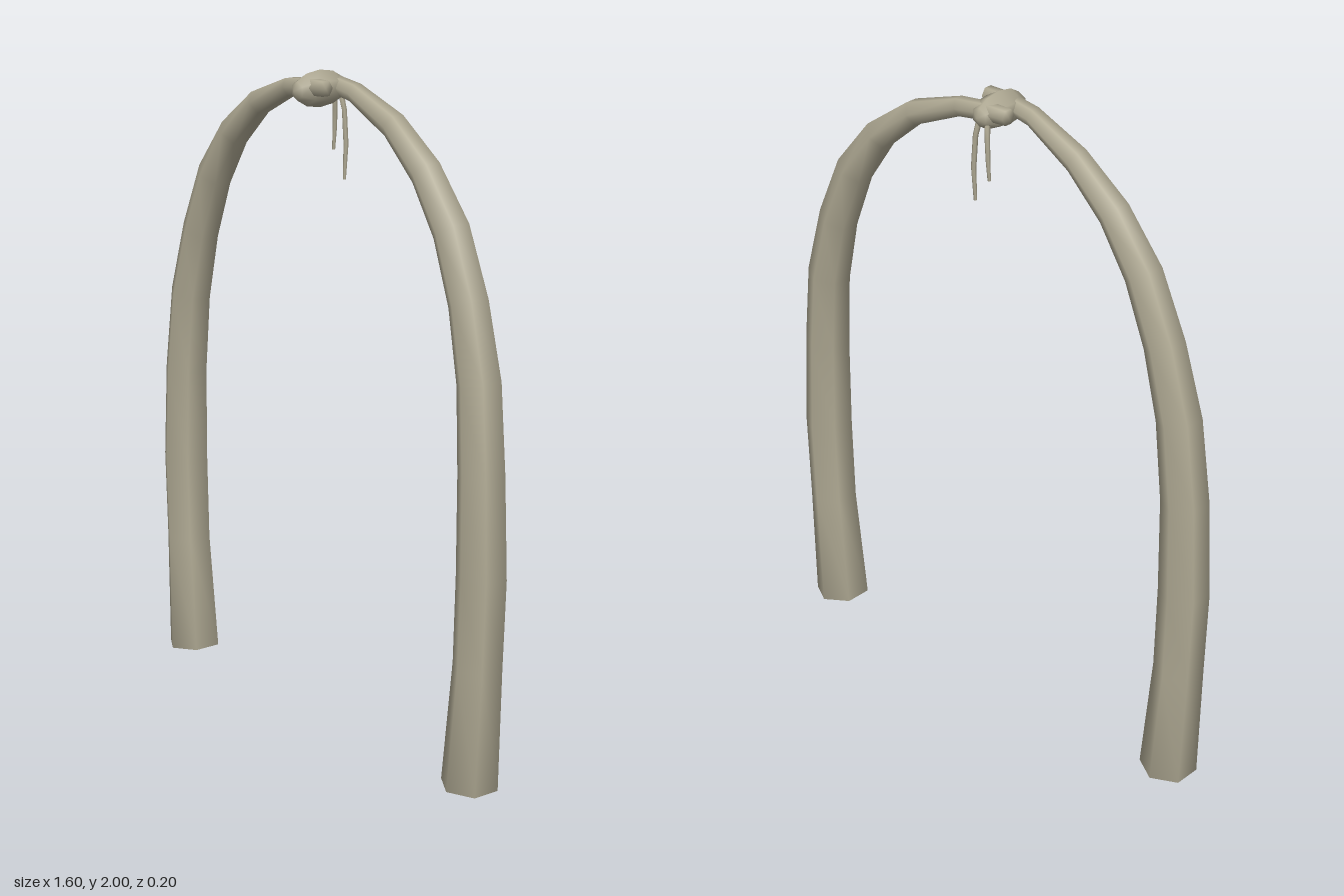
import * as THREE from 'three';

const SIDES = 6;

// Closed six-sided tube along [x, y, z, radius] stations, smooth shaded.
function taperedTube(stations) {
  const pos = [], index = [], n = stations.length;
  const pts = stations.map(([x, y, z]) => new THREE.Vector3(x, y, z));
  const centre = [];
  pts.forEach((p, i) => {
    const t = pts[Math.min(i + 1, n - 1)].clone().sub(pts[Math.max(i - 1, 0)]);
    t.z = 0;
    t.normalize();
    const r = stations[i][3];
    for (let k = 0; k < SIDES; k++) {
      const a = (k + 0.5) * Math.PI * 2 / SIDES;
      const c = Math.cos(a) * r;
      pos.push(p.x + t.y * c, p.y - t.x * c, p.z - Math.sin(a) * r);
    }
  });
  for (const end of [0, n - 1]) {
    centre.push(pos.length / 3);
    pos.push(pts[end].x, pts[end].y, pts[end].z);
  }
  for (let k = 0; k < SIDES; k++) {
    const k1 = (k + 1) % SIDES;
    for (let i = 0; i < n - 1; i++) {
      const a = i * SIDES + k, b = i * SIDES + k1;
      index.push(a, b, a + SIDES, b, b + SIDES, a + SIDES);
    }
    const last = (n - 1) * SIDES;
    index.push(centre[0], k1, k, centre[1], last + k, last + k1);
  }
  const g = new THREE.BufferGeometry();
  g.setAttribute('position', new THREE.Float32BufferAttribute(pos, 3));
  g.setIndex(index);
  g.computeVertexNormals();
  return g;
}

export function createModel() {
  const group = new THREE.Group();
  const wood = new THREE.MeshStandardMaterial({ color: 0xb0aa94 });
  wood.name = 'pale wood';

  const add = (name, geometry) => {
    const mesh = new THREE.Mesh(geometry, wood);
    mesh.name = name;
    group.add(mesh);
    return mesh;
  };

  // Bent pole: [x, y, radius] from foot to tip, past the middle of the arch.
  const bend = [
    [0.705, 0.006, 0.087], [0.728, 0.38, 0.075], [0.735, 0.65, 0.076],
    [0.725, 0.95, 0.071], [0.692, 1.205, 0.067], [0.63, 1.42, 0.061],
    [0.545, 1.61, 0.057], [0.43, 1.758, 0.049], [0.283, 1.87, 0.04],
    [0.1, 1.941, 0.03], [0, 1.955, 0.028], [-0.08, 1.957, 0.025],
  ];
  const leftZ = [-0.005, -0.008, -0.01, -0.012, -0.026, -0.036, -0.042, -0.043, -0.045, -0.048, -0.047, -0.045];
  const rightZ = [-0.007, -0.006, -0.005, -0.005, -0.004, -0.003, 0.0, 0.005, 0.014, 0.036, 0.042, 0.043];
  add('leftPole', taperedTube(bend.map(([x, y, r], i) => [x, y, leftZ[i], r])));
  add('rightPole', taperedTube(bend.map(([x, y, r], i) => [-x, y, rightZ[i], r])));

  // Lashing wrapped around both pole tips.
  const knot = new THREE.SphereGeometry(1, 6, 6);
  knot.rotateX(Math.PI / 2);
  knot.rotateZ(Math.PI / 6);
  knot.scale(0.057, 0.055, 0.095);
  add('lashing', knot).position.set(0, 1.945, 0.004);

  // Loose cord ends hanging behind the lashing.
  add('longCordEnd', taperedTube([
    [0.016, 1.93, -0.06, 0.009], [0.026, 1.88, -0.066, 0.008],
    [0.034, 1.78, -0.066, 0.008], [0.032, 1.675, -0.062, 0.005],
  ]));
  add('shortCordEnd', taperedTube([
    [-0.014, 1.93, -0.06, 0.009], [-0.021, 1.88, -0.068, 0.008],
    [-0.025, 1.82, -0.07, 0.007], [-0.028, 1.755, -0.068, 0.005],
  ]));

  return group;
}
